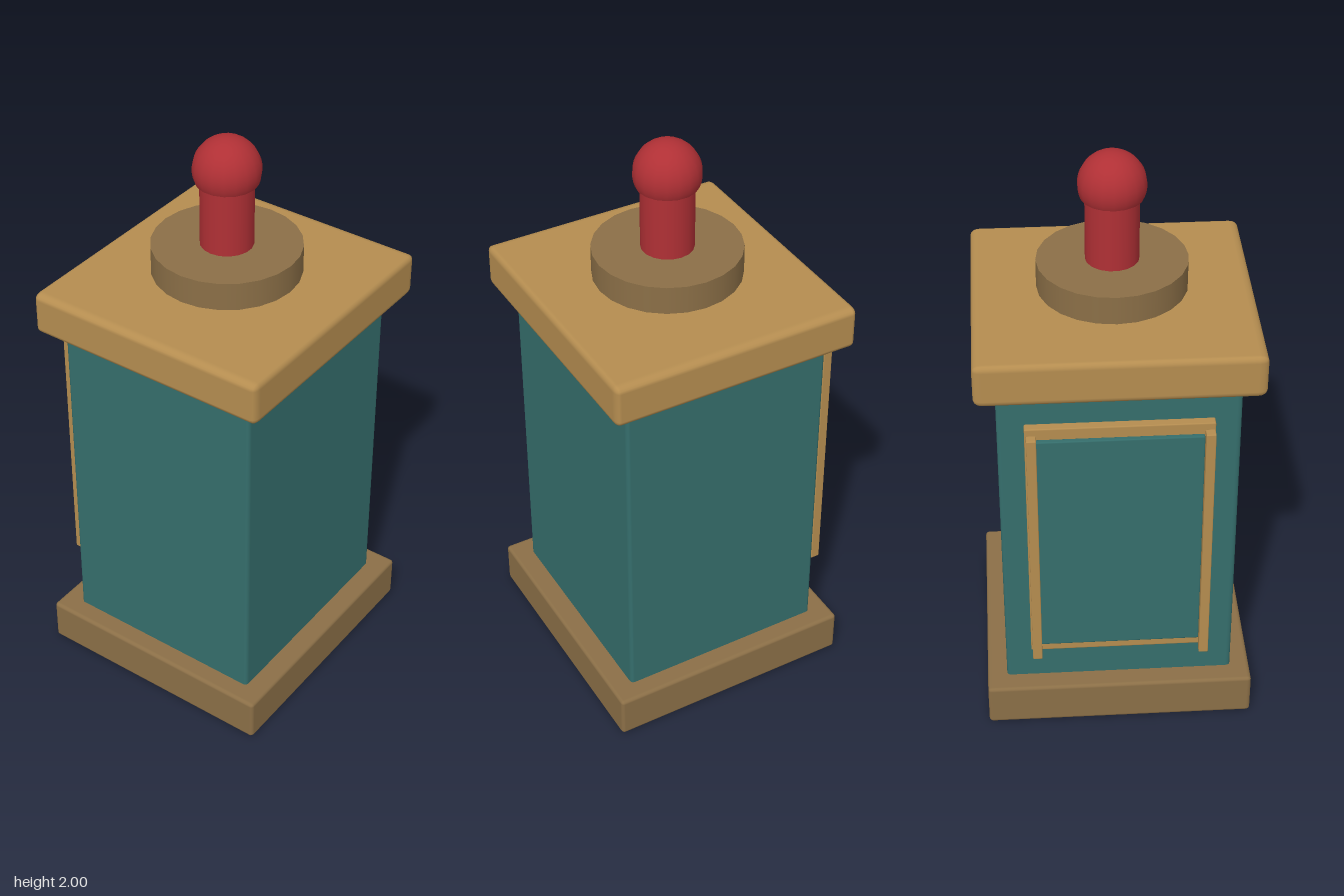
import * as THREE from 'three';
import { RoundedBoxGeometry } from 'three/addons/geometries/RoundedBoxGeometry.js';

const material = (name, color) => {
  const m = new THREE.MeshStandardMaterial({ color });
  m.name = name;
  return m;
};

export function createModel() {
  const tan = material('tan trim', 0xb58d50);
  const brown = material('dark brown', 0x8b6f47);
  const teal = material('teal', 0x356e6c);
  const red = material('red', 0xb03035);

  const model = new THREE.Group();
  model.name = 'cabinet';
  const cx = 0.006; // axis of the cabinet, offset by the side door

  const add = (name, geometry, mat, x, y, z = 0) => {
    const mesh = new THREE.Mesh(geometry, mat);
    mesh.name = name;
    mesh.position.set(x, y, z);
    model.add(mesh);
    return mesh;
  };

  // Box with edge bevels of different size along each axis
  const bevelBox = (w, h, d, bx, by, bz) =>
    new RoundedBoxGeometry(w / bx, h / by, d / bz, 2, 1).scale(bx, by, bz);

  // Cabinet
  add('base', bevelBox(0.876, 0.15, 0.92, 0.012, 0.012, 0.014), brown, cx, 0.08).position.y = 0.0775;
  model.getObjectByName('base').scale.y = 0.155 / 0.15;
  add('body', bevelBox(0.73, 1.22, 0.784, 0.012, 0.012, 0.016), teal, cx, 0.753);
  add('lid', bevelBox(0.866, 0.15, 0.92, 0.018, 0.022, 0.03), tan, cx, 1.427);

  // Side door: frame plate, inset panel and two upright bars
  add('doorFrame', bevelBox(0.032, 0.94, 0.61, 0.003, 0.005, 0.005), tan, -0.379, 0.77);
  add('doorPanel', bevelBox(0.018, 0.86, 0.54, 0.003, 0.005, 0.005), teal, -0.403, 0.77);
  for (const side of [-1, 1]) {
    add(side > 0 ? 'doorBarFront' : 'doorBarBack',
      bevelBox(0.032, 0.925, 0.032, 0.003, 0.004, 0.003), tan, -0.436, 0.772, side * 0.284);
  }

  // Collar floating just above the lid
  add('collar', new THREE.CylinderGeometry(0.247, 0.247, 0.097, 24), brown, cx, 1.573);

  // Post and knob with a flat underside
  add('post', new THREE.CylinderGeometry(0.088, 0.088, 0.25, 18), red, cx, 1.74);
  const r = 0.111, cut = Math.PI * 0.625;
  add('knob', new THREE.SphereGeometry(r, 18, 12, 0, Math.PI * 2, 0, cut), red, cx, 2 - r);
  add('knobUnderside', new THREE.CircleGeometry(r * Math.sin(cut), 18).rotateX(Math.PI / 2),
    red, cx, 2 - r + r * Math.cos(cut));

  return model;
}
